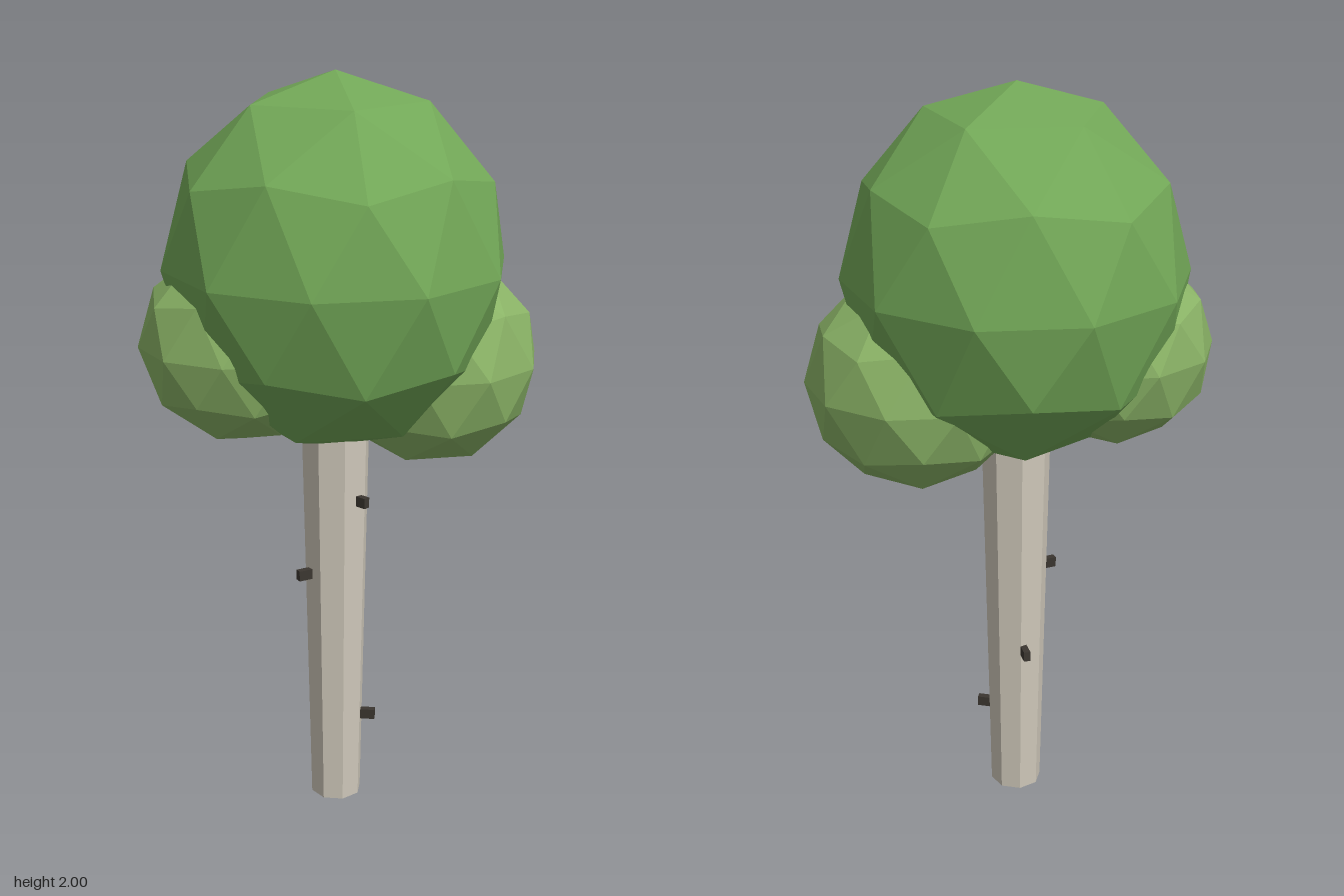
import * as THREE from 'three';

const flat = (color) => new THREE.MeshStandardMaterial({ color, flatShading: true });

export function createModel() {
  const tree = new THREE.Group();
  tree.name = 'tree';
  const axisX = -0.013; // the trunk stands slightly off centre

  const bark = flat(0xcfc8ba);
  const knotMat = flat(0x3b3630);
  const crownMat = flat(0x72a757);
  const leafMat = flat(0x8ab366);

  const add = (name, geometry, material, x, y, z) => {
    const mesh = new THREE.Mesh(geometry, material);
    mesh.name = name;
    mesh.position.set(x, y, z);
    tree.add(mesh);
    return mesh;
  };

  // Tapered eight-sided trunk, wider at the top, flats facing the axes
  const trunkHeight = 1.12;
  const trunk = new THREE.CylinderGeometry(0.093, 0.07, trunkHeight, 8);
  trunk.rotateY(Math.PI / 8);
  add('trunk', trunk, bark, axisX, trunkHeight / 2, 0);

  // Short dark stubs pointing out of the trunk: [height, angle from +x towards +z, distance]
  const stubs = [[0.24, 0, 0.086], [0.46, 242, 0.092], [0.675, 144, 0.093], [0.89, 36, 0.09]];
  for (const [y, degrees, r] of stubs) {
    const a = THREE.MathUtils.degToRad(degrees);
    const stub = add('barkStub', new THREE.BoxGeometry(0.045, 0.028, 0.018), knotMat,
      axisX + r * Math.cos(a), y, r * Math.sin(a));
    stub.rotation.y = -a;
  }

  // Faceted foliage: an icosphere turned so that one of its corners is the top
  const foliage = (name, material, x, y, z, radius, halfHeight) => {
    const ball = new THREE.IcosahedronGeometry(1, 1);
    ball.rotateZ(-Math.atan(2 / (1 + Math.sqrt(5))));
    ball.scale(radius, halfHeight, radius);
    add(name, ball, material, x, y, z);
  };
  foliage('crown', crownMat, axisX, 1.515, 0, 0.447, 0.485);
  foliage('leftFoliage', leafMat, 0.224, 1.25, -0.1, 0.29, 0.285);
  foliage('rightFoliage', leafMat, -0.248, 1.32, 0.072, 0.265, 0.26);

  return tree;
}
